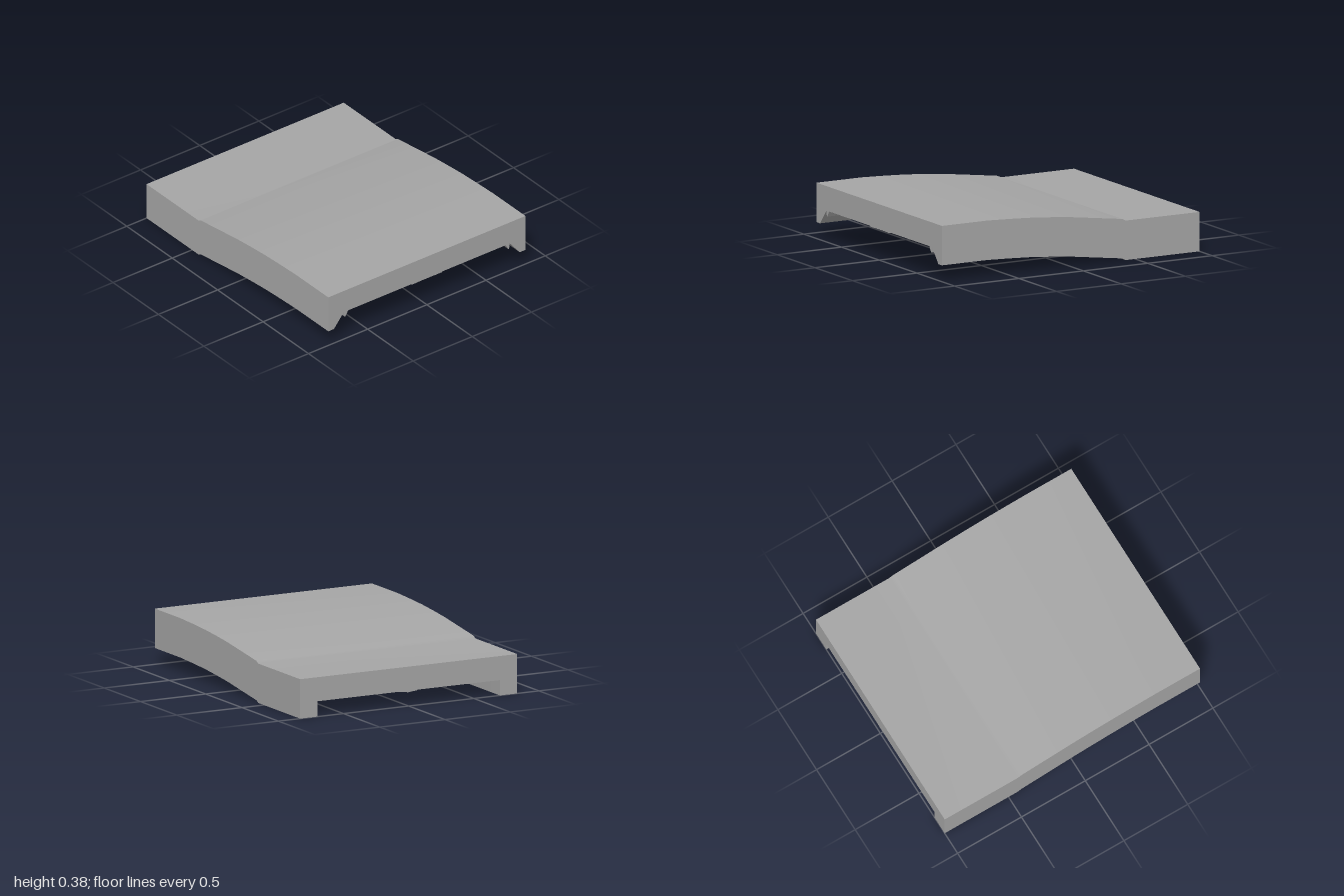
import * as THREE from 'three';

// Height offset of the curved slab along z, front to back
const CURVE = [[1, 0.112], [0.65, 0.112], [0.47, 0.105], [0.3, 0.096], [0.15, 0.083], [0, 0.068],
  [-0.2, 0.041], [-0.4, 0.014], [-0.425, 0], [-1, 0]];
const STATIONS = CURVE.map((c) => c[0]);

function lift(z) {
  for (let i = 1; i < CURVE.length; i++) {
    const [z0, y0] = CURVE[i - 1], [z1, y1] = CURVE[i];
    if (z >= z1) return y0 + (y1 - y0) * (z0 - z) / (z0 - z1);
  }
  return 0;
}

// Curve stations between two z values, including both ends
function between(front, back) {
  return [front, ...STATIONS.filter((z) => z < front - 1e-4 && z > back + 1e-4), back];
}

// Sweeps a counter-clockwise section along the curve; section(z, i) gives [x, y] points.
// Each lengthwise strip is smooth along z, with hard edges to its neighbours and the caps.
function sweep(name, zs, section, material) {
  const rings = zs.map((z, i) => section(z, i).map(([x, y]) => [x, y + lift(z), z]));
  const n = rings[0].length;
  const pos = [], index = [];
  for (let j = 0; j < n; j++) {
    const base = pos.length / 3;
    rings.forEach((ring, i) => {
      pos.push(...ring[j], ...ring[(j + 1) % n]);
      const a = base + i * 2;
      if (i < rings.length - 1) index.push(a, a + 3, a + 1, a, a + 2, a + 3);
    });
  }
  const cap = (ring, flip) => {
    const base = pos.length / 3;
    ring.forEach((p) => pos.push(...p));
    const faces = THREE.ShapeUtils.triangulateShape(ring.map((p) => new THREE.Vector2(p[0], p[1])), []);
    for (const [a, b, c] of faces) index.push(base + a, base + (flip ? c : b), base + (flip ? b : c));
  };
  cap(rings[0], false);
  cap(rings[rings.length - 1], true);
  const geometry = new THREE.BufferGeometry();
  geometry.setAttribute('position', new THREE.Float32BufferAttribute(pos, 3));
  geometry.setIndex(index);
  geometry.computeVertexNormals();
  const mesh = new THREE.Mesh(geometry, material);
  mesh.name = name;
  return mesh;
}

const mirror = (half) => [...half.map(([x, y]) => [-x, y]).reverse(), ...half];
const rect = (x0, x1, y0, y1) => [[x0, y0], [x1, y0], [x1, y1], [x0, y1]];

export function createModel() {
  const group = new THREE.Group();
  const grey = new THREE.MeshStandardMaterial({ color: 0xa6a6a6 });
  const dark = new THREE.MeshStandardMaterial({ color: 0x6a6a6a });
  const teal = new THREE.MeshStandardMaterial({ color: 0x86cdc0 });

  // Roof slab: light recess, sloped skirts and a small lip in front, square skirts behind
  const frontHalf = [[0.071, 0.122], [0.071, 0.102], [0.665, 0.102], [0.688, 0.063], [0.695, 0.063],
    [0.7, 0.104], [0.785, 0], [0.833, 0], [0.833, 0.27]];
  const rearHalf = [[0.071, 0.106], [0.071, 0.105], [0.665, 0.105], [0.688, 0.105], [0.695, 0.105],
    [0.7, 0.105], [0.7, 0], [0.833, 0], [0.833, 0.27]];
  group.add(sweep('roofSlab', STATIONS, (z) => mirror(z > -0.41 ? frontHalf : rearHalf), grey));

  // Ribbed ceiling panels: each slat hangs a little below the groove beside it
  const slats = 14, front = 0.999, back = -0.405, pitch = (front - back) / slats;
  const panelZ = [], panelY = [];
  for (let i = 0; i < slats; i++) {
    [[0, 0.101], [0.12, 0.096], [0.8, 0.096], [0.88, 0.101]].forEach(([t, y]) => {
      panelZ.push(front - (i + t) * pitch);
      panelY.push(y);
    });
  }
  panelZ.push(back);
  panelY.push(0.101);

  for (const side of [-1, 1]) {
    const across = (a, b) => (side > 0 ? [a, b] : [-b, -a]);
    group.add(sweep(side > 0 ? 'leftCeilingPanel' : 'rightCeilingPanel', panelZ,
      (z, i) => rect(...across(0.12, 0.667), panelY[i], 0.108), dark));
    // Rails beside the light
    group.add(sweep(side > 0 ? 'leftLightRail' : 'rightLightRail', between(0.999, -0.42),
      () => rect(...across(0.07, 0.127), 0.096, 0.11), grey));
  }

  // Recessed light strip with its front bar
  group.add(sweep('lightStrip', between(0.97, -0.4), () => rect(-0.072, 0.072, 0.117, 0.126), teal));
  group.add(sweep('lightFrontBar', between(0.999, 0.96), () => rect(-0.07, 0.07, 0.097, 0.125), grey));

  // Shallow V-shaped ridge under the rear ceiling, closing the back of the recess
  group.add(sweep('rearCeilingRidge', between(-0.395, -0.999),
    () => [[-0.07, 0.102], [0, 0.094], [0.07, 0.102], [0.07, 0.124], [-0.07, 0.124]], grey));

  return group;
}
